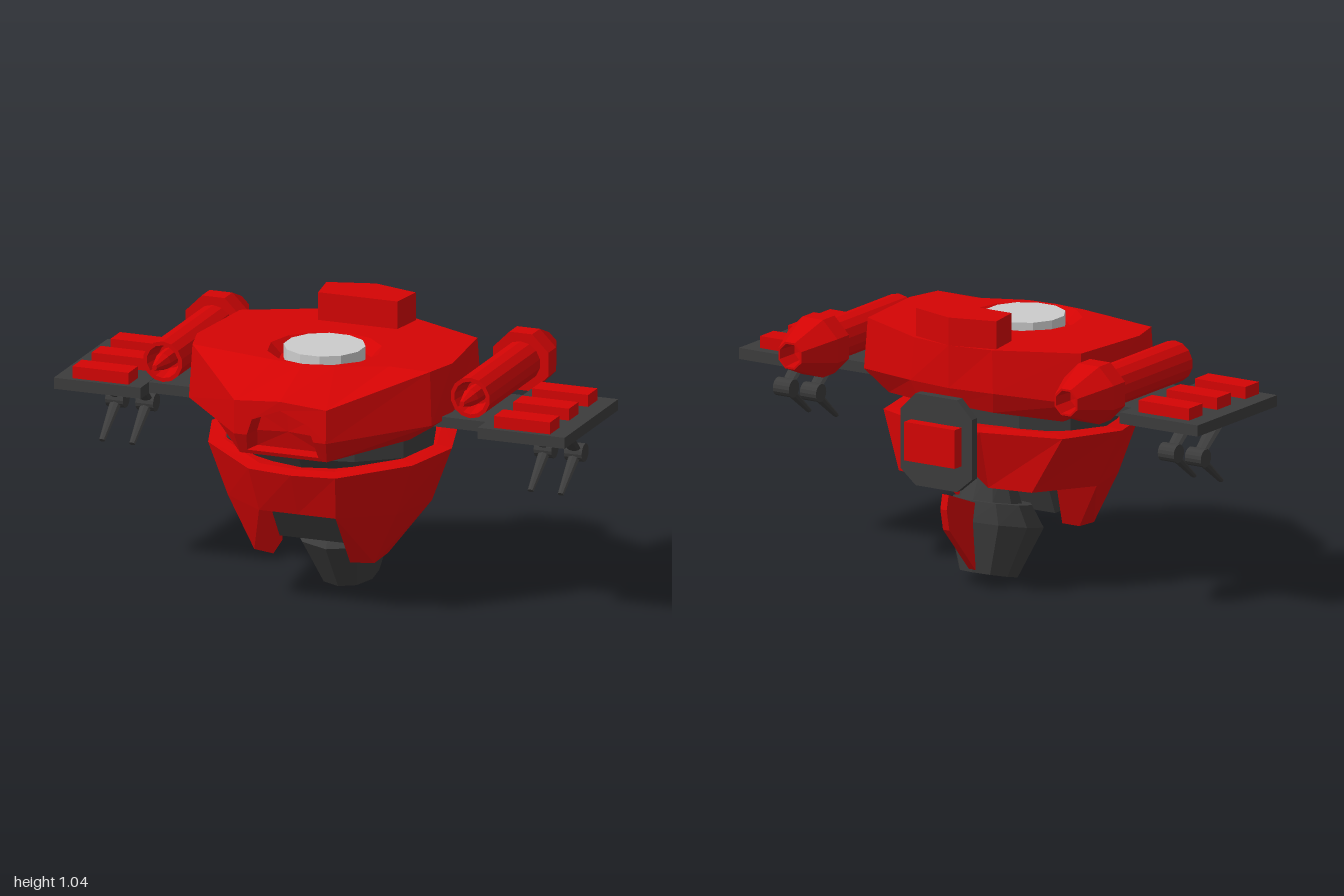
import * as THREE from 'three';
import { ConvexGeometry } from 'three/addons/geometries/ConvexGeometry.js';

const mat = (color) => new THREE.MeshStandardMaterial({ color, flatShading: true, side: THREE.DoubleSide });
const red = mat(0xd40404), dark = mat(0x3c3c3c), grey = mat(0xcccccc);
const V = (p) => new THREE.Vector3(...p);

export function createModel() {
  const model = new THREE.Group();

  function add(name, geometry, material, x = 0, y = 0, z = 0, parent = model) {
    const mesh = new THREE.Mesh(geometry, material);
    mesh.name = name;
    mesh.position.set(x, y, z);
    parent.add(mesh);
    return mesh;
  }
  const box = (w, h, d) => new THREE.BoxGeometry(w, h, d);

  // Half outline (front centre to back centre) mirrored into a full ring
  const mirror = (half) => [...half, ...half.slice(1, -1).reverse().map(([x, y, z]) => [-x, y, z])];

  // Ring of n points, optionally stretched and sloping along z
  function circle(n, y, zc, rx, rz = rx, slope = 0) {
    return Array.from({ length: n }, (_, i) => {
      const t = (i / n) * Math.PI * 2, dz = rz * Math.cos(t);
      return [rx * Math.sin(t), y + slope * dz, zc + dz];
    });
  }

  // Skin between successive rings, with optional end caps;
  // the front two faces can be left open for the first few bands
  function loft(rings, capStart = false, capEnd = false, openBands = 0) {
    const pos = [], n = rings[0].length;
    const tri = (...pts) => pts.forEach((p) => pos.push(...p));
    const centre = (r) => [0, 1, 2].map((k) => r.reduce((s, p) => s + p[k], 0) / n);
    for (let j = 0; j < n; j++) {
      const k = (j + 1) % n;
      const first = j === 0 || k === 0 ? openBands : 0;
      for (let i = first; i < rings.length - 1; i++) {
        const [a, b, c, d] = [rings[i][j], rings[i][k], rings[i + 1][k], rings[i + 1][j]];
        tri(a, b, c);
        tri(a, c, d);
      }
      const s = rings[0], e = rings[rings.length - 1];
      if (capStart) tri(centre(s), s[k], s[j]);
      if (capEnd) tri(centre(e), e[j], e[k]);
    }
    const g = new THREE.BufferGeometry();
    g.setAttribute('position', new THREE.Float32BufferAttribute(pos, 3));
    g.computeVertexNormals();
    return g;
  }

  // Tapered flattened rod between two points in a vertical plane
  function rod(name, a, b, r1, r2, flat, parent) {
    const from = V(a), to = V(b), dir = to.clone().sub(from);
    const mid = from.clone().add(to).multiplyScalar(0.5);
    const g = new THREE.CylinderGeometry(r2, r1, dir.length(), 8).scale(1, 1, flat);
    const m = add(name, g, dark, mid.x, mid.y, mid.z, parent);
    m.quaternion.setFromUnitVectors(new THREE.Vector3(0, 1, 0), dir.normalize());
  }

  // Upper hull with a sunken round seat on top and an open nose
  add('upperHull', loft([
    mirror([[0, 0.64, 0.5], [0.17, 0.64, 0.5], [0.38, 0.67, 0.22], [0.42, 0.69, 0.07], [0.38, 0.67, -0.22], [0.16, 0.70, -0.35], [0, 0.71, -0.37]]),
    mirror([[0, 0.72, 0.535], [0.18, 0.72, 0.535], [0.475, 0.74, 0.24], [0.5, 0.74, 0.1], [0.475, 0.75, -0.24], [0.18, 0.78, -0.38], [0, 0.78, -0.4]]),
    mirror([[0, 0.86, 0.535], [0.18, 0.845, 0.53], [0.465, 0.94, 0.23], [0.5, 0.94, 0.1], [0.465, 0.94, -0.23], [0.17, 0.94, -0.37], [0, 0.94, -0.4]]),
    mirror([[0, 0.94, 0.31], [0.12, 0.94, 0.3], [0.3, 0.94, 0.22], [0.4, 0.94, 0.1], [0.3, 0.94, -0.15], [0.12, 0.94, -0.25], [0, 0.94, -0.28]]),
    circle(12, 0.94, 0.1, 0.21),
    circle(12, 0.90, 0.1, 0.17),
  ], true, true, 2), red);
  add('topHatch', new THREE.CylinderGeometry(0.15, 0.15, 0.055, 12, 1, false, Math.PI / 12), grey, 0, 0.9265, 0.1);

  // Hooded intake sunk into the nose
  const hood = mirror([[0, 0.655, 0.507], [0.14, 0.655, 0.507], [0.13, 0.72, 0.534], [0.11, 0.78, 0.534], [0, 0.825, 0.534]]);
  add('noseIntake', loft([
    mirror([[0, 0.64, 0.5], [0.17, 0.64, 0.5], [0.18, 0.72, 0.535], [0.18, 0.845, 0.53], [0, 0.86, 0.535]]),
    hood,
    hood.map(([x, y, z]) => [x * 0.9, y, z - 0.07]),
  ], false, true), red);

  // Raised block on the rear deck
  const deck = [[0, -0.22], [0.155, -0.22], [0.175, -0.35], [0, -0.4]];
  add('rearDeckBlock', loft([0.92, 1.045].map((y) => mirror(deck.map(([x, z]) => [x, y, z]))), true, true), red);

  // Dark neck between the two hull halves, running down into the cup
  add('neck', loft([
    circle(12, 0.43, -0.03, 0.22, 0.22),
    circle(12, 0.5, 0.02, 0.34, 0.27),
    circle(12, 0.59, 0.035, 0.4, 0.315),
    circle(12, 0.66, 0.035, 0.4, 0.315),
    circle(12, 0.72, 0.035, 0.4, 0.315),
  ], true, true), dark);

  // Lower hull cup: outer wall, hem, inner wall and rim lip
  const rim = mirror([[0, 0.55, 0.43], [0.17, 0.555, 0.42], [0.4, 0.58, 0.24], [0.47, 0.595, 0.03], [0.39, 0.61, -0.24], [0.13, 0.63, -0.39], [0.07, 0.64, -0.445], [0, 0.64, -0.445]]);
  const hem = mirror([[0, 0.385, 0.365], [0.15, 0.385, 0.365], [0.33, 0.38, 0.22], [0.38, 0.38, 0.0], [0.29, 0.405, -0.29], [0.14, 0.415, -0.35], [0.07, 0.54, -0.445], [0, 0.54, -0.445]]);
  const shrink = (ring, s, dy) => ring.map(([x, y, z]) => [x * s, y + dy, z * s]);
  const inner = shrink(rim, 0.72, 0);
  add('lowerHull', loft([inner, shrink(hem, 0.75, 0.01), hem, rim, shrink(rim, 0.87, 0.008), inner]), red);

  // Legs of the cup, either side of the front notch
  for (const s of [-1, 1]) {
    const pts = [[0.15, 0.385, 0.365], [0.33, 0.38, 0.22], [0.38, 0.38, 0], [0.2, 0.38, 0.0],
      [0.15, 0.18, 0.225], [0.235, 0.18, 0.2], [0.245, 0.19, 0.09], [0.17, 0.19, 0.09]];
    add('hullLeg', new ConvexGeometry(pts.map(([x, y, z]) => V([s * x, y, z]))), red);
  }

  // Dark block filling the notch between the legs
  const block = [[0.4, 0.27], [0.4, 0], [0.23, 0.16], [0.23, 0.07]];
  add('notchBlock', new ConvexGeometry(block.flatMap(([y, z]) => [V([0.152, y, z]), V([-0.152, y, z])])), dark);

  // Tilted belly engine with a red nozzle
  add('engine', loft([
    circle(10, 0.028, -0.138, 0.11, 0.108, -0.25),
    circle(10, 0.212, -0.088, 0.18, 0.178, -0.21),
    circle(10, 0.297, -0.11, 0.15, 0.14, -0.2),
    circle(10, 0.302, -0.125, 0.12, 0.115, -0.2),
    circle(10, 0.43, -0.125, 0.08, 0.07, -0.1),
  ]), dark);
  add('engineNozzle', loft([
    circle(10, 0.07, -0.128, 0.065, 0.065, -0.25),
    circle(10, 0.028, -0.138, 0.11, 0.108, -0.25),
  ], true), red);

  // Thin fin behind the engine
  const fin = [[-0.2, 0.3], [-0.265, 0.315], [-0.42, 0.385], [-0.433, 0.33], [-0.415, 0.25], [-0.245, 0.065], [-0.2, 0.1]];
  add('tailFin', new ConvexGeometry(fin.flatMap(([z, y]) => [V([0.014, y, z]), V([-0.014, y, z])])), red);

  // Rear plate with cut corners and a red block
  const plate = new THREE.Shape([[-0.09, 0.42], [0.09, 0.42], [0.155, 0.475], [0.155, 0.70], [0.09, 0.765], [-0.09, 0.765], [-0.155, 0.70], [-0.155, 0.475]].map(([x, y]) => new THREE.Vector2(x, y)));
  add('rearPlate', new THREE.ExtrudeGeometry(plate, { depth: 0.035, bevelEnabled: false }), dark, 0, 0, -0.48);
  add('rearPlateBlock', box(0.22, 0.145, 0.05), red, 0, 0.5925, -0.5);

  // Side assemblies: wing, blocks, thruster, guns
  const lathe = (pts, sides, phi) =>
    new THREE.LatheGeometry(pts.map(([r, z]) => new THREE.Vector2(r, z)), sides, phi).rotateX(Math.PI / 2);
  for (const s of [-1, 1]) {
    const side = new THREE.Group();
    side.name = s > 0 ? 'leftWing' : 'rightWing';
    model.add(side);
    add('wingPanel', box(0.34, 0.042, 0.52), dark, s * 0.83, 0.736, -0.01, side);
    add('wingArm', box(0.26, 0.04, 0.36), dark, s * 0.54, 0.736, -0.01, side);
    for (const z of [-0.185, 0, 0.185]) add('wingBlock', box(0.22, 0.05, 0.09), red, s * 0.825, 0.777, z, side);

    add('thrusterBody', lathe([[0.07, -0.32], [0.077, -0.31], [0.077, 0.18], [0.062, 0.18], [0.045, 0.1], [0, 0.1]], 14, 0), red, s * 0.602, 0.843, 0, side);
    add('thrusterNozzle', lathe([[0, -0.44], [0.04, -0.45], [0.046, -0.535], [0.054, -0.535], [0.117, -0.385], [0.117, -0.31], [0.07, -0.31]], 8, Math.PI / 8), red, s * 0.602, 0.843, 0, side);
    add('thrusterSpike', lathe([[0.035, 0.09], [0.032, 0.18], [0.01, 0.26], [0, 0.26]], 8, 0), red, s * 0.602, 0.843, 0, side);

    for (const gx of [0.78, 0.898]) {
      const x = s * gx;
      rod('gunStrut', [x, 0.725, 0.045], [x, 0.6, -0.105], 0.037, 0.026, 0.5, side);
      add('gunJoint', new THREE.CylinderGeometry(0.034, 0.034, 0.07, 16).rotateZ(Math.PI / 2), dark, x, 0.59, -0.115, side);
      rod('gunBarrel', [x, 0.582, -0.105], [x, 0.47, 0.035], 0.024, 0.012, 0.7, side);
    }
  }
  return model;
}
